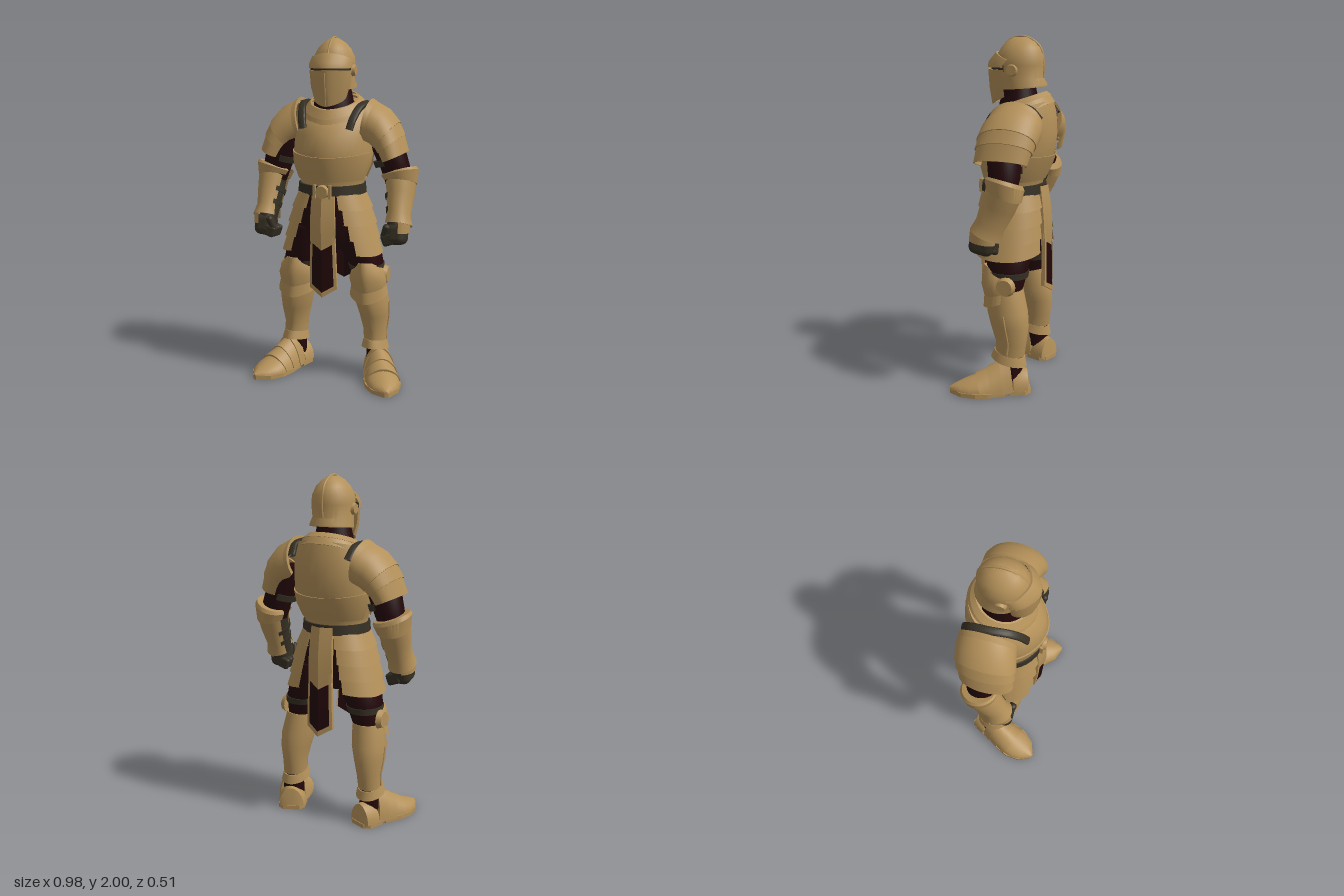
import * as THREE from 'three';
import { toCreasedNormals } from 'three/addons/utils/BufferGeometryUtils.js';
import { RoundedBoxGeometry } from 'three/addons/geometries/RoundedBoxGeometry.js';

const V = (x, y, z) => new THREE.Vector3(x, y, z);
const lerp = THREE.MathUtils.lerp;

function material(name, color) {
  const m = new THREE.MeshStandardMaterial({ color, side: THREE.DoubleSide });
  m.name = name;
  return m;
}

// Grid surface from a rule f(u, v) -> Vector3, u and v in 0..1
function surface(nu, nv, f) {
  const pos = [], idx = [];
  for (let j = 0; j <= nv; j++) for (let i = 0; i <= nu; i++) pos.push(...f(i / nu, j / nv).toArray());
  for (let j = 0; j < nv; j++) for (let i = 0; i < nu; i++) {
    const a = j * (nu + 1) + i, b = a + nu + 1;
    idx.push(a, b, a + 1, b, b + 1, a + 1);
  }
  const g = new THREE.BufferGeometry();
  g.setAttribute('position', new THREE.Float32BufferAttribute(pos, 3));
  g.setIndex(idx);
  return toCreasedNormals(g, 0.6);
}

// Elliptic ring at height y, half width rx, from zb to zf; slopeZ and slopeX tilt it
function ring(y, rx, zf, zb, cx = 0, slopeZ = 0, slopeX = 0) {
  const rz = (zf - zb) / 2;
  return { c: V(cx, y, (zf + zb) / 2), a: V(rx, slopeX * rx, 0), b: V(0, slopeZ * rz, rz) };
}
const grow = (r, k) => ({ c: r.c, a: r.a.clone().multiplyScalar(k), b: r.b.clone().multiplyScalar(k) });
const pow = (x, p) => Math.sign(x) * Math.abs(x) ** p;

// Skin over rings; keel makes a ridge along the b side, end closes (0) or thickens the edge (<1), p < 1 is squarer
function loft(rings, { t0 = 0, t1 = Math.PI * 2, keel = 0, end = 0.93, flat = false, p = 1, n = 32 } = {}) {
  const all = [grow(rings[0], end), ...rings, grow(rings.at(-1), end)];
  return surface(n, all.length - 1, (u, v) => {
    const r = all[Math.round(v * (all.length - 1))], t = lerp(t0, t1, u);
    let s = pow(Math.sin(t), p);
    if (flat) s = Math.max(0, s);
    s *= 1 + keel * Math.max(0, s) ** 8;
    return r.c.clone().addScaledVector(r.a, pow(Math.cos(t), p)).addScaledVector(r.b, s);
  });
}

export function createModel() {
  const root = new THREE.Group();
  const steel = material('tan plate', 0xb39059);
  const cloth = material('dark red cloth', 0x23070a);
  const leather = material('dark leather', 0x363024);

  const add = (parent, name, geo, mat, p = [0, 0, 0], r = [0, 0, 0]) => {
    const m = new THREE.Mesh(geo, mat);
    m.name = name;
    m.position.set(...p);
    m.rotation.set(...r);
    parent.add(m);
  };
  // Overlapping plates, each flaring at its lower edge
  const lames = (parent, name, rings, flare, opts) => {
    for (let i = 0; i + 1 < rings.length; i++)
      add(parent, name + (i + 1), loft([rings[i], grow(rings[i + 1], flare)], opts(i)), steel);
  };
  const tube = (pts, r) => new THREE.TubeGeometry(new THREE.CatmullRomCurve3(pts.map(p => V(...p))), 24, r, 8);

  // Helmet
  const helmet = new THREE.Group();
  helmet.name = 'helmet';
  root.add(helmet);
  add(helmet, 'skull', loft([ring(1.715, 0.122, 0.06, -0.195, 0, -0.08), ring(1.725, 0.122, 0.06, -0.195, 0, -0.08), ring(1.77, 0.112, 0.08, -0.175),
    ring(1.84, 0.119, 0.09, -0.18), ring(1.89, 0.113, 0.088, -0.177), ring(1.935, 0.09, 0.065, -0.158),
    ring(1.968, 0.058, 0.034, -0.125), ring(1.99, 0.022, -0.005, -0.085)], { end: 0 }), steel);
  add(helmet, 'crest', tube([[0, 1.89, 0.084], [0, 1.945, 0.05], [0, 1.99, -0.01], [0, 1.99, -0.08], [0, 1.94, -0.155],
    [0, 1.84, -0.178], [0, 1.77, -0.173]], 0.007), steel);
  const front = { t0: -0.05, t1: Math.PI + 0.05, keel: 0.12, end: 0.9 };
  add(helmet, 'lowerVisor', loft([ring(1.665, 0.092, 0.112, -0.06, 0, -0.48), ring(1.73, 0.112, 0.125, -0.07, 0, -0.2),
    ring(1.816, 0.12, 0.132, -0.08)], front), steel);
  add(helmet, 'eyeSlit', loft([ring(1.805, 0.116, 0.114, -0.07), ring(1.84, 0.116, 0.114, -0.07)], front), leather);
  add(helmet, 'brow', loft([ring(1.828, 0.124, 0.135, -0.08), ring(1.845, 0.124, 0.128, -0.08, 0, 0.12),
    ring(1.872, 0.118, 0.086, -0.08, 0, 0.42)], front), steel);
  add(helmet, 'noseRidge', tube([[0, 1.625, 0.12], [0, 1.72, 0.135], [0, 1.805, 0.143]], 0.006), steel);

  // Neck and layered collar
  add(root, 'neck', loft([ring(1.56, 0.13, 0.08, -0.16), ring(1.63, 0.115, 0.075, -0.15), ring(1.75, 0.09, 0.04, -0.12)]), cloth);
  lames(root, 'collar', [ring(1.65, 0.14, 0.09, -0.19, 0, -0.34), ring(1.615, 0.17, 0.11, -0.212, 0, -0.38),
    ring(1.565, 0.195, 0.125, -0.232, 0, -0.4)], 1.03, () => ({ keel: 0.08 }));

  // Cuirass
  add(root, 'cuirass', loft([ring(1.17, 0.185, 0.15, -0.17), ring(1.21, 0.19, 0.155, -0.18), ring(1.28, 0.222, 0.175, -0.215),
    ring(1.36, 0.232, 0.182, -0.24), ring(1.46, 0.228, 0.162, -0.252), ring(1.55, 0.218, 0.115, -0.245, 0, -0.12),
    ring(1.61, 0.19, 0.075, -0.225, 0, -0.28)], { keel: 0.07, end: 0.75 }), steel);
  for (const s of [0, Math.PI])
    add(root, s ? 'lowerBackplate' : 'lowerBreastplate', loft([ring(1.205, 0.2, 0.165, -0.19), ring(1.28, 0.23, 0.183, -0.225),
      ring(1.37, 0.238, 0.19, -0.248, 0, s ? 0.12 : -0.12)], { t0: s + 0.25, t1: s + Math.PI - 0.25, keel: 0.05, end: 0.97 }), steel);

  // Belt and buckle
  add(root, 'belt', loft([ring(1.125, 0.2, 0.18, -0.195), ring(1.18, 0.195, 0.176, -0.19)]), leather);
  add(root, 'buckle', new THREE.CylinderGeometry(0.034, 0.04, 0.025, 20), steel, [0, 1.15, 0.188], [Math.PI / 2, 0, 0]);
  for (const x of [-0.045, 0.045]) add(root, 'buckleBar', new THREE.BoxGeometry(0.015, 0.075, 0.02), steel, [x, 1.15, 0.18]);

  // Hips and hanging panels, front and back
  add(root, 'hips', loft([ring(1.14, 0.175, 0.145, -0.165), ring(1, 0.2, 0.145, -0.165), ring(0.86, 0.22, 0.125, -0.16),
    ring(0.8, 0.2, 0.1, -0.14)], { end: 0 }), cloth);
  const panel = (y0, y1, w0, w1, dip, z0, z1, ua = -1, ub = 1, va = 0, depth = 0) => surface(8, 8, (u, v) => {
    const k = lerp(ua, ub, u), q = lerp(va, 1, v), x = k * lerp(w0, w1, q);
    return V(x, lerp(y0, y1, q) - dip * q * (1 - Math.abs(k)), lerp(z0, z1, q) - 0.35 * Math.abs(x) + 0.012 * Math.sin(q * Math.PI) - depth * u);
  });
  for (const [name, top, z0, z1, ry] of [['front', 1.125, 0.182, 0.185, 0], ['back', 1.17, 0.2, 0.24, Math.PI]]) {
    const g = new THREE.Group();
    g.name = name + 'Tabard';
    g.rotation.y = ry;
    root.add(g);
    add(g, 'clothPanel', panel(top, 0.585, 0.062, 0.08, 0.05, z0, z1), cloth);
    add(g, 'hem', panel(top, 0.585, 0.063, 0.081, 0.05, z0 + 0.006, z1 + 0.006, -1, 1, 0.95), steel);
    for (const s of [-1, 1]) {
      add(g, 'sideTrim', panel(top, 0.585, 0.064, 0.082, 0.05, z0 + 0.007, z1 + 0.007, s * 0.8, s), steel);
      add(g, 'sideEdge', panel(top, 0.585, 0.064, 0.082, 0.05, z0 + 0.007, z1 + 0.007, s, s, 0, 0.022), steel);
    }
    add(g, 'upperPlate', panel(top, 0.86, 0.066, 0.078, 0.045, z0 + 0.01, lerp(z0, z1, 0.5) + 0.014), steel);
  }

  // Everything paired, built on the +x side and mirrored
  for (const side of [1, -1]) {
    const g = new THREE.Group();
    g.name = side > 0 ? 'leftSide' : 'rightSide';
    g.scale.x = side;
    root.add(g);

    // Visor pivot and flat shoulder strap
    add(g, 'visorPivot', new THREE.CylinderGeometry(0.028, 0.035, 0.02, 16), steel, [0.121, 1.815, -0.03], [0, 0, -Math.PI / 2]);
    const strap = new THREE.CatmullRomCurve3([V(0.137, 1.495, 0.118), V(0.15, 1.555, 0.088), V(0.17, 1.612, 0.025), V(0.186, 1.63, -0.07),
      V(0.184, 1.615, -0.16), V(0.174, 1.56, -0.212)]);
    add(g, 'shoulderStrap', loft(strap.getPoints(20).map(c => ({ c, a: V(0.021, -0.005, 0), b: V(0.03, c.y - 1.47, c.z + 0.07).setLength(0.013) })), { p: 0.6 }), leather);

    // Pauldron: rings given by their upper and lower points
    const span = (ux, uy, lx, ly, rz, cz) => ({ c: V((ux + lx) / 2, (uy + ly) / 2, cz), a: V(0, 0, rz), b: V((ux - lx) / 2, (uy - ly) / 2, 0) });
    const sh = [span(0.215, 1.65, 0.17, 1.4, 0.15, -0.075), span(0.245, 1.637, 0.18, 1.38, 0.158, -0.075),
      span(0.315, 1.6, 0.215, 1.37, 0.165, -0.07), span(0.375, 1.525, 0.24, 1.36, 0.16, -0.062),
      span(0.405, 1.455, 0.26, 1.345, 0.153, -0.055), span(0.43, 1.365, 0.29, 1.305, 0.142, -0.045)];
    const over = { t0: -0.6, t1: Math.PI + 0.6, end: 0.95 };
    add(g, 'pauldronRim', loft([grow(sh[0], 1.05), sh[1]], { ...over, end: 0.85 }), steel);
    add(g, 'pauldronDome', loft([sh[1], sh[2], grow(sh[3], 1.04)], over), steel);
    lames(g, 'pauldronLame', sh.slice(3), 1.05, () => over);

    // Upper arm
    add(g, 'upperArm', loft([ring(1.48, 0.09, 0.03, -0.15, 0.29), ring(1.36, 0.095, 0.035, -0.15, 0.325),
      ring(1.26, 0.086, 0.015, -0.155, 0.36), ring(1.16, 0.07, 0.0, -0.13, 0.38)], { end: 0 }), cloth);
    add(g, 'armStrap', loft([ring(1.33, 0.101, 0.037, -0.158, 0.332, 0, 0.3), ring(1.295, 0.097, 0.034, -0.16, 0.342, 0, 0.3)],
      { t0: 1.8, t1: 4.45 }), leather);

    // Forearm: leather sleeve inside an open-sided vambrace
    add(g, 'sleeve', loft([ring(1.21, 0.075, -0.005, -0.15, 0.38, 0.4), ring(1.08, 0.064, 0.04, -0.1, 0.388, 0.45),
      ring(0.94, 0.05, 0.09, -0.03, 0.39, 0.45)], { end: 0 }), leather);
    const shell = [ring(1.2, 0.092, 0.012, -0.172, 0.388, 0.4), ring(1.12, 0.083, 0.04, -0.135, 0.393, 0.48),
      ring(1.01, 0.068, 0.075, -0.075, 0.397, 0.48), ring(0.955, 0.08, 0.108, -0.062, 0.402, 0.42)];
    add(g, 'vambrace', loft(shell, { t0: -2.6, t1: 2.55 }), steel);
    add(g, 'elbowGuard', loft([ring(1.25, 0.1, 0.015, -0.175, 0.378, 0.2, 0.3), ring(1.235, 0.108, 0.025, -0.185, 0.382, 0.25, 0.25),
      ring(1.18, 0.095, 0.02, -0.172, 0.388, 0.4)], { t0: -2.7, t1: 2.7, end: 0 }), steel);
    const mix = (r, s, k) => ({ c: r.c.clone().lerp(s.c, k), a: r.a.clone().lerp(s.a, k), b: r.b.clone().lerp(s.b, k) });
    for (const k of [0.1, 0.75])
      add(g, 'forearmStrap', loft([mix(shell[1], shell[2], k), mix(shell[1], shell[2], k + 0.22)].map(r => grow(r, 1.04)), { t0: 2.3, t1: 3.95 }), leather);

    // Gauntlet fist
    add(g, 'handPlate', loft([ring(0.97, 0.072, 0.108, -0.045, 0.4, 0.3), ring(0.915, 0.068, 0.116, -0.038, 0.402, 0.15)], { t0: -1.3, t1: 1.3 }), steel);
    add(g, 'fist', new RoundedBoxGeometry(0.115, 0.125, 0.14, 3, 0.04), leather, [0.4, 0.908, 0.04], [-0.2, 0, 0]);
    for (let i = 0; i < 4; i++)
      add(g, 'finger', new RoundedBoxGeometry(0.085, 0.07, 0.037, 2, 0.016), leather, [0.365, 0.873 + i * 0.004, -0.01 + i * 0.034], [0, 0, 0.35]);
    add(g, 'thumb', new RoundedBoxGeometry(0.04, 0.09, 0.04, 2, 0.018), leather, [0.345, 0.93, 0.095], [0.3, 0, -0.3]);

    // Tassets
    const tas = [ring(1.13, 0.19, 0.172, -0.185), ring(1.06, 0.224, 0.182, -0.2, 0, 0, -0.1), ring(0.98, 0.248, 0.19, -0.21, 0, 0, -0.13),
      ring(0.9, 0.268, 0.194, -0.216, 0, 0, -0.15), ring(0.825, 0.286, 0.194, -0.217, 0, 0, -0.18)];
    lames(g, 'tasset', tas, 1.04, i => ({ t0: -1.26 + i * 0.04, t1: 1.21 - i * 0.1, end: 0.96, p: 0.85 }));

    // Thigh and strap
    add(g, 'thigh', loft([ring(0.92, 0.11, 0.11, -0.15, 0.13), ring(0.8, 0.118, 0.11, -0.162, 0.165), ring(0.7, 0.102, 0.08, -0.15, 0.2),
      ring(0.56, 0.08, 0.05, -0.115, 0.22)], { end: 0 }), cloth);
    add(g, 'thighStrap', loft([ring(0.705, 0.107, 0.084, -0.158, 0.2), ring(0.67, 0.102, 0.076, -0.153, 0.205)]), leather);

    // Knee
    const kneeOpts = { t0: -0.25, t1: Math.PI + 0.25, keel: 0.14 };
    add(g, 'kneeCop', loft([ring(0.715, 0.065, 0.09, -0.1, 0.212, 0.15), ring(0.68, 0.092, 0.098, -0.11, 0.216), ring(0.62, 0.11, 0.1, -0.11, 0.22),
      ring(0.565, 0.1, 0.082, -0.11, 0.222, -0.2)], { ...kneeOpts, end: 0.85 }), steel);
    add(g, 'kneeLame', loft([ring(0.585, 0.102, 0.084, -0.11, 0.222, -0.25), ring(0.53, 0.113, 0.088, -0.11, 0.224, -0.4)], kneeOpts), steel);
    add(g, 'kneeFan', new THREE.CylinderGeometry(0.045, 0.058, 0.03, 16), steel, [0.316, 0.635, -0.055], [0, 0, -Math.PI / 2]);

    // Greave
    add(g, 'greave', loft([ring(0.6, 0.09, 0.06, -0.13, 0.22), ring(0.47, 0.1, 0.068, -0.163, 0.236), ring(0.39, 0.088, 0.045, -0.172, 0.246),
      ring(0.29, 0.07, 0.014, -0.16, 0.25), ring(0.215, 0.068, 0.018, -0.15, 0.253)], { keel: 0.06 }), steel);
    add(g, 'ankleCuff', loft([ring(0.225, 0.07, 0.02, -0.152, 0.252, 0.2), ring(0.175, 0.082, 0.038, -0.163, 0.254, 0.2)], { keel: 0.1 }), steel);
    add(g, 'greaveSeam', tube([[0.336, 0.47, -0.05], [0.334, 0.39, -0.063], [0.32, 0.29, -0.073], [0.322, 0.23, -0.067]], 0.006), steel);
    add(g, 'ankle', loft([ring(0.23, 0.06, -0.025, -0.14, 0.256), ring(0.08, 0.065, -0.02, -0.14, 0.26)]), cloth);

    // Armoured shoe, turned outward
    const foot = new THREE.Group();
    foot.name = 'foot';
    foot.position.set(0.265, 0, -0.083);
    foot.rotation.y = 0.4;
    g.add(foot);
    const slice = (z, w, h, y = 0.02, lean = 0) => ({ c: V(0, y, z), a: V(w, 0, 0), b: V(0, h - y, lean) });
    const arch = { flat: true, end: 0, keel: 0.05 };
    add(foot, 'heelCup', loft([slice(-0.1, 0.05, 0.1, 0, 0.01), slice(-0.085, 0.075, 0.125), slice(-0.03, 0.084, 0.135), slice(0.0, 0.082, 0.12)], arch), steel);
    const steps = [slice(0.0, 0.08, 0.205, 0.015, 0.02), slice(0.06, 0.09, 0.175, 0.015, 0.02), slice(0.125, 0.096, 0.134, 0.015, 0.02), slice(0.19, 0.1, 0.1, 0.015, 0.02)];
    lames(foot, 'instepLame', steps, 1.06, () => arch);
    add(foot, 'toeCap', loft([slice(0.18, 0.1, 0.102), slice(0.25, 0.094, 0.08), slice(0.3, 0.07, 0.06), slice(0.335, 0.04, 0.047), slice(0.36, 0.008, 0.035)], arch), steel);
    const sole = pts => new THREE.ExtrudeGeometry(new THREE.Shape(pts.map(p => new THREE.Vector2(...p))), { depth: 0.025, bevelEnabled: false }).rotateX(Math.PI / 2);
    const mirrorPts = half => [...half, ...half.slice().reverse().map(([x, z]) => [-x, z])];
    add(foot, 'heel', sole(mirrorPts([[0.05, -0.102], [0.08, -0.07], [0.085, 0.02]])), steel, [0, 0.025, 0]);
    add(foot, 'sole', sole(mirrorPts([[0.085, 0.045], [0.105, 0.15], [0.105, 0.22], [0.076, 0.3], [0.012, 0.36]])), steel, [0, 0.025, 0]);
  }
  return root;
}
